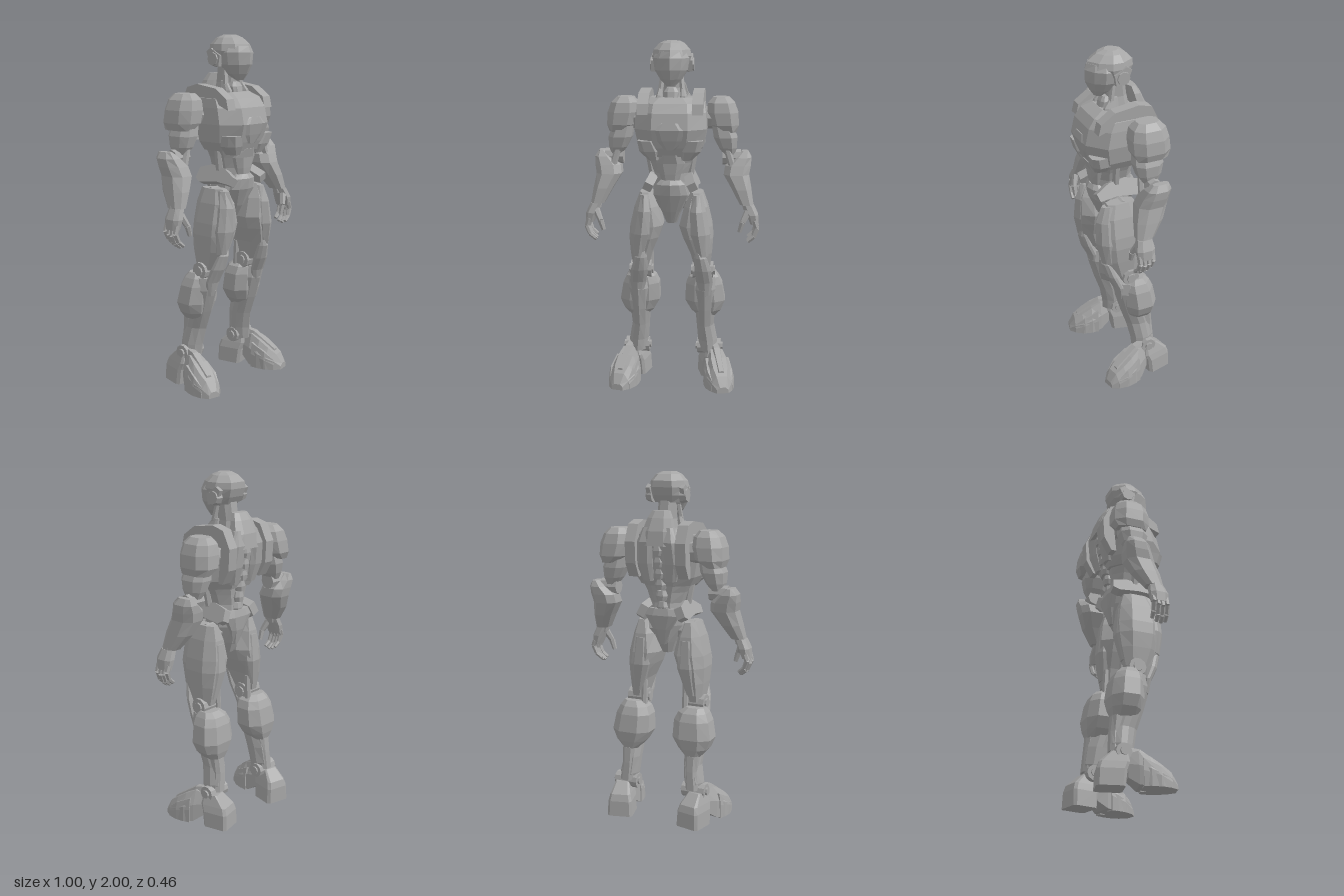
import * as THREE from 'three';

// Unit cross-sections: plain octagon, ridged front, flat-bottomed arch, chamfered block
const OCT = [[-1, -0.5], [-0.5, -1], [0.5, -1], [1, -0.5], [1, 0.5], [0.5, 1], [-0.5, 1], [-1, 0.5]];
const RIDGE = [[-1, -0.4], [-0.55, -1], [0.55, -1], [1, -0.4], [1, 0.1], [0.62, 0.65], [0, 1], [-0.62, 0.65], [-1, 0.1]];
const ARCH = [[-1, -1], [1, -1], [0.95, 0.1], [0.5, 1], [-0.5, 1], [-0.95, 0.1]];
const BLOCK = [[-1, -0.8], [-0.8, -1], [0.8, -1], [1, -0.8], [1, 0.8], [0.8, 1], [-0.8, 1], [-1, 0.8]];

// Faceted solid with outward faces
function solid(geo) {
  const g = geo.index ? geo.toNonIndexed() : geo;
  const p = g.attributes.position;
  const a = new THREE.Vector3(), b = new THREE.Vector3(), c = new THREE.Vector3();
  let volume = 0;
  for (let i = 0; i < p.count; i += 3) {
    a.fromBufferAttribute(p, i); b.fromBufferAttribute(p, i + 1); c.fromBufferAttribute(p, i + 2);
    volume += a.dot(b.clone().cross(c));
  }
  if (volume < 0) {
    for (let i = 0; i < p.count; i += 3) {
      b.fromBufferAttribute(p, i + 1); c.fromBufferAttribute(p, i + 2);
      p.setXYZ(i + 1, c.x, c.y, c.z);
      p.setXYZ(i + 2, b.x, b.y, b.z);
    }
  }
  g.computeVertexNormals();
  return g;
}

// Loft through rings [t, x0, x1, v0, v1]; t runs along y (v = z) or along z (v = y)
function loft(rings, shape = OCT, axis = 'y') {
  const pos = [], idx = [], n = shape.length;
  for (const [t, x0, x1, v0, v1] of rings) {
    for (const [u, w] of shape) {
      const x = (x0 + x1) / 2 + u * (x1 - x0) / 2, v = (v0 + v1) / 2 + w * (v1 - v0) / 2;
      pos.push(x, ...(axis === 'y' ? [t, v] : [v, t]));
    }
  }
  const last = (rings.length - 1) * n;
  for (let r = 0; r < last; r += n) {
    for (let i = 0; i < n; i++) {
      const j = (i + 1) % n;
      idx.push(r + i, r + n + i, r + j, r + j, r + n + i, r + n + j);
    }
  }
  for (let i = 1; i < n - 1; i++) idx.push(0, i, i + 1, last, last + i + 1, last + i);
  const g = new THREE.BufferGeometry();
  g.setAttribute('position', new THREE.Float32BufferAttribute(pos, 3));
  g.setIndex(idx);
  return solid(g);
}

// Loft symmetric about x = 0, rings [t, halfWidth, v0, v1]
const core = (rings, shape, axis) => loft(rings.map(([t, w, v0, v1]) => [t, -w, w, v0, v1]), shape, axis);

// Rod between two points
function rod(p, q, r0, r1 = r0, sides = 6) {
  const a = new THREE.Vector3(...p), b = new THREE.Vector3(...q), d = b.clone().sub(a);
  const g = new THREE.CylinderGeometry(r1, r0, d.length(), sides);
  g.applyQuaternion(new THREE.Quaternion().setFromUnitVectors(new THREE.Vector3(0, 1, 0), d.normalize()));
  const m = a.add(b).multiplyScalar(0.5);
  return solid(g.translate(m.x, m.y, m.z));
}

// Plate from a (z, y) outline, running from x0 to x1
const sidePlate = (pts, x0, x1) => solid(new THREE.ExtrudeGeometry(
  new THREE.Shape(pts.map(([z, y]) => new THREE.Vector2(z, y))), { depth: x1 - x0, bevelEnabled: false },
).rotateY(-Math.PI / 2).translate(x1, 0, 0));

export function createModel() {
  const model = new THREE.Group();
  model.name = 'armouredRobot';
  const grey = new THREE.MeshStandardMaterial({ color: 0xa6a6a6 });
  grey.name = 'armour grey';
  const add = (name, geo) => {
    const mesh = new THREE.Mesh(geo, grey);
    mesh.name = name;
    model.add(mesh);
  };
  const both = (name, geo) => {
    add(name + 'Left', geo);
    add(name + 'Right', solid(geo.clone().scale(-1, 1, 1)));
  };

  // Head
  add('helmet', core([[1.83, 0.075, -0.03, 0.08], [1.87, 0.098, -0.055, 0.14], [1.915, 0.108, -0.07, 0.178],
    [1.95, 0.1, -0.068, 0.165], [1.985, 0.07, -0.035, 0.115], [2, 0.04, 0, 0.07]], RIDGE));
  add('faceMask', core([[1.755, 0.025, 0.085, 0.13], [1.79, 0.06, 0.03, 0.155], [1.84, 0.09, 0, 0.18],
    [1.905, 0.1, 0, 0.182], [1.94, 0.08, 0, 0.17]], RIDGE));
  both('earDisc', rod([0.085, 1.87, 0.01], [0.122, 1.87, 0.01], 0.045, 0.036, 8));
  both('earFin', sidePlate([[0.05, 1.83], [0.06, 1.89], [-0.01, 1.93], [-0.04, 1.91], [-0.01, 1.84]], 0.09, 0.115));

  // Neck
  add('neck', core([[1.64, 0.065, -0.07, 0.07], [1.74, 0.045, -0.05, 0.06], [1.85, 0.05, -0.035, 0.07]]));
  both('neckPiston', rod([0.07, 1.66, 0.07], [0.05, 1.82, 0.04], 0.016));
  both('collarBlock', loft([[1.63, 0.045, 0.1, 0.03, 0.12], [1.7, 0.05, 0.085, 0.02, 0.1], [1.75, 0.05, 0.07, 0.02, 0.06]]));
  add('throatGuard', core([[1.64, 0.03, 0.05, 0.12], [1.72, 0.04, 0.05, 0.1], [1.745, 0.025, 0.05, 0.085]]));
  add('napeGuard', core([[1.6, 0.1, -0.168, -0.1], [1.68, 0.09, -0.155, -0.07], [1.75, 0.07, -0.125, -0.06], [1.79, 0.05, -0.1, -0.055]]));

  // Torso
  add('chest', core([[1.37, 0.15, -0.09, 0.175], [1.42, 0.18, -0.11, 0.195], [1.52, 0.2, -0.13, 0.226],
    [1.61, 0.195, -0.145, 0.205], [1.66, 0.185, -0.14, 0.17], [1.69, 0.13, -0.12, 0.11]]));
  add('sternumPlate', core([[1.41, 0.03, 0.17, 0.198], [1.46, 0.08, 0.17, 0.215], [1.52, 0.11, 0.18, 0.231], [1.56, 0.06, 0.18, 0.222]]));
  both('ribPlate', loft([[1.35, 0.06, 0.12, 0.09, 0.175], [1.4, 0.05, 0.17, 0.08, 0.2], [1.46, 0.08, 0.18, 0.1, 0.213]]));
  both('shoulderStrap', sidePlate([[0.185, 1.6], [0.17, 1.66], [0.09, 1.715], [-0.05, 1.735], [-0.125, 1.715],
    [-0.172, 1.62], [-0.165, 1.5], [-0.12, 1.42], [-0.09, 1.42], [-0.11, 1.62], [0.08, 1.64]], 0.12, 0.182));
  both('shoulderBlade', loft([[1.4, 0.035, 0.1, -0.12, -0.06], [1.5, 0.03, 0.13, -0.15, -0.08],
    [1.62, 0.025, 0.12, -0.165, -0.08], [1.7, 0.04, 0.09, -0.14, -0.08]]));
  for (let i = 0; i < 6; i++) {
    const y = 1.22 + i * 0.065, z = -0.06 - i * 0.013;
    add('spineSegment' + (i + 1), core([[y, 0.025, z - 0.02, z + 0.04], [y + 0.028, 0.035, z - 0.025, z + 0.04],
      [y + 0.058, 0.025, z - 0.02, z + 0.04]]));
  }
  add('waist', core([[1.18, 0.1, -0.07, 0.13], [1.27, 0.095, -0.065, 0.135], [1.33, 0.115, -0.07, 0.145], [1.4, 0.15, -0.08, 0.16]]));
  add('bellyPlate', core([[1.22, 0.045, 0.08, 0.155], [1.27, 0.06, 0.08, 0.163], [1.33, 0.08, 0.08, 0.17], [1.38, 0.06, 0.1, 0.185]]));
  both('waistPiston', rod([0.1, 1.22, 0.05], [0.135, 1.42, 0.06], 0.022));

  // Pelvis
  add('pelvis', core([[0.975, 0.03, -0.02, 0.07], [1.04, 0.055, -0.05, 0.1], [1.14, 0.1, -0.07, 0.14], [1.22, 0.1, -0.07, 0.13]]));
  add('groinPlate', core([[0.98, 0.025, 0.03, 0.085], [1.05, 0.05, 0.06, 0.125], [1.15, 0.095, 0.09, 0.17],
    [1.21, 0.08, 0.1, 0.18], [1.235, 0.055, 0.1, 0.165]], RIDGE));
  add('tailPlate', core([[1.03, 0.02, -0.06, -0.02], [1.12, 0.055, -0.085, -0.04], [1.2, 0.1, -0.095, -0.04], [1.24, 0.08, -0.085, -0.04]]));
  both('hipGuard', sidePlate([[0.165, -0.045], [0.18, 0], [0.1, 0.045], [0, 0.06], [-0.085, 0.035], [-0.095, -0.03],
    [-0.06, -0.05], [0.06, -0.035]], -0.025, 0.025).rotateZ(0.45).translate(0.115, 1.22, 0));
  both('hipJoint', rod([0.05, 1.11, 0.03], [0.16, 1.11, 0.03], 0.055, 0.055, 8));

  // Arms
  both('shoulderJoint', rod([0.14, 1.57, -0.045], [0.28, 1.57, -0.045], 0.065, 0.065, 8));
  both('shoulderPad', loft([[1.49, 0.28, 0.362, -0.14, 0.03], [1.53, 0.215, 0.375, -0.16, 0.05],
    [1.6, 0.195, 0.37, -0.155, 0.053], [1.655, 0.2, 0.35, -0.14, 0.042], [1.688, 0.228, 0.318, -0.11, 0.01]]));
  both('upperArm', loft([[1.36, 0.295, 0.355, -0.085, 0], [1.4, 0.265, 0.365, -0.105, 0.025],
    [1.46, 0.235, 0.368, -0.12, 0.04], [1.55, 0.22, 0.33, -0.11, 0.03]]));
  both('elbowJoint', rod([0.285, 1.345, -0.045], [0.39, 1.345, -0.045], 0.045, 0.045, 8));
  both('elbowRod', rod([0.31, 1.4, 0], [0.35, 1.27, 0.01], 0.02));
  both('forearm', loft([[1.085, 0.388, 0.465, -0.018, 0.083], [1.17, 0.342, 0.452, -0.078, 0.073],
    [1.25, 0.293, 0.437, -0.113, 0.053], [1.3, 0.3, 0.447, -0.122, 0.033], [1.345, 0.35, 0.45, -0.124, 0.012],
    [1.38, 0.395, 0.43, -0.11, -0.02]]));

  // Hands, fingers curled inward
  both('wrist', rod([0.425, 1.12, 0.03], [0.44, 1.06, 0.04], 0.035));
  both('palm', loft([[0.975, 0.45, 0.495, -0.003, 0.09], [1.03, 0.428, 0.493, -0.008, 0.097], [1.085, 0.405, 0.467, 0, 0.083]]));
  for (let i = 0; i < 4; i++) {
    const z = 0.007 + i * 0.025, drop = [0.02, 0.005, 0, 0.01][i];
    const joints = [[0.472, 1, z], [0.486, 0.945 + drop, z], [0.468, 0.9 + drop, z + 0.004], [0.435, 0.873 + drop, z + 0.008]];
    for (let k = 0; k < 3; k++) both(`finger${i + 1}Segment${k + 1}`, rod(joints[k], joints[k + 1], 0.017 - k * 0.002, 0.015 - k * 0.002));
  }
  const thumb = [[0.435, 1.05, 0.07], [0.405, 0.99, 0.093], [0.388, 0.935, 0.093]];
  for (let k = 0; k < 2; k++) both('thumbSegment' + (k + 1), rod(thumb[k], thumb[k + 1], 0.022 - k * 0.004, 0.016 - k * 0.003));

  // Thighs
  both('thigh', loft([[0.7, 0.14, 0.22, -0.04, 0.1], [0.81, 0.11, 0.232, -0.063, 0.15], [0.9, 0.07, 0.238, -0.075, 0.17],
    [0.97, 0.047, 0.232, -0.075, 0.174], [1.08, 0.075, 0.207, -0.06, 0.165], [1.16, 0.11, 0.178, -0.035, 0.125]]));
  both('thighFrontPlate', loft([[0.8, 0.145, 0.215, 0.08, 0.17], [0.93, 0.095, 0.225, 0.08, 0.2], [1.06, 0.095, 0.2, 0.08, 0.193],
    [1.15, 0.12, 0.175, 0.07, 0.16]], RIDGE));
  both('hamstringPlate', loft([[0.74, 0.14, 0.2, -0.055, 0], [0.9, 0.09, 0.2, -0.085, 0], [1.06, 0.1, 0.18, -0.07, 0]]));

  // Knees
  both('kneeJoint', rod([0.12, 0.69, 0.015], [0.24, 0.69, 0.015], 0.05, 0.05, 10));
  both('kneeHub', rod([0.11, 0.69, 0.015], [0.25, 0.69, 0.015], 0.028, 0.028, 8));
  both('kneeRod', rod([0.13, 0.8, -0.03], [0.13, 0.6, -0.04], 0.018));
  both('kneeGuard', loft([[0.55, 0.17, 0.225, 0.05, 0.09], [0.63, 0.145, 0.24, 0.05, 0.11], [0.71, 0.135, 0.23, 0.08, 0.15],
    [0.79, 0.135, 0.205, 0.11, 0.172], [0.835, 0.14, 0.17, 0.13, 0.16]], RIDGE));

  // Lower legs
  both('shin', loft([[0.17, 0.162, 0.262, -0.11, -0.005], [0.24, 0.15, 0.262, -0.132, 0.002], [0.34, 0.142, 0.243, -0.122, 0.024],
    [0.45, 0.135, 0.25, -0.09, 0.062], [0.58, 0.125, 0.26, -0.06, 0.1], [0.65, 0.14, 0.25, -0.04, 0.085]], RIDGE));
  both('calf', loft([[0.395, 0.15, 0.245, -0.122, 0], [0.44, 0.11, 0.284, -0.134, 0.03], [0.5, 0.076, 0.308, -0.142, 0.045],
    [0.6, 0.08, 0.29, -0.125, 0.05], [0.645, 0.1, 0.27, -0.105, 0.045], [0.675, 0.14, 0.25, -0.075, 0.02]]));
  both('achillesPlate', loft([[0.2, 0.17, 0.25, -0.142, -0.06], [0.31, 0.165, 0.235, -0.135, -0.06], [0.4, 0.16, 0.24, -0.125, -0.06]]));

  // Feet, built straight along z and then turned outward about the heel
  const foot = (name, geo) => both(name, geo.rotateY(0.23).translate(0.23, 0, -0.14));
  both('ankleJoint', rod([0.145, 0.19, -0.085], [0.285, 0.19, -0.085], 0.045, 0.045, 10));
  both('ankleHub', rod([0.135, 0.19, -0.085], [0.297, 0.19, -0.085], 0.024, 0.024, 8));
  foot('toeCap', core([[0.085, 0.045, 0.05, 0.18], [0.14, 0.07, 0.01, 0.195], [0.2, 0.088, 0, 0.165],
    [0.26, 0.084, 0, 0.125], [0.31, 0.062, 0, 0.09], [0.343, 0.035, 0, 0.035]], ARCH, 'z'));
  foot('instepRidge', core([[0.07, 0.03, 0.12, 0.222], [0.15, 0.035, 0.1, 0.208], [0.29, 0.025, 0.05, 0.115]], ARCH, 'z'));
  for (const s of [-1, 1]) {
    foot(s < 0 ? 'innerToe' : 'outerToe', loft([[0.16, s * 0.058 - 0.024, s * 0.058 + 0.024, 0, 0.15],
      [0.25, s * 0.062 - 0.024, s * 0.062 + 0.024, 0, 0.105], [0.31, s * 0.045 - 0.02, s * 0.045 + 0.02, 0, 0.055]], ARCH, 'z'));
  }
  foot('heel', core([[0, 0.075, -0.08, 0.07], [0.09, 0.07, -0.077, 0.08], [0.13, 0.06, -0.065, 0.095],
    [0.19, 0.04, 0, 0.085]], BLOCK));
  return model;
}
